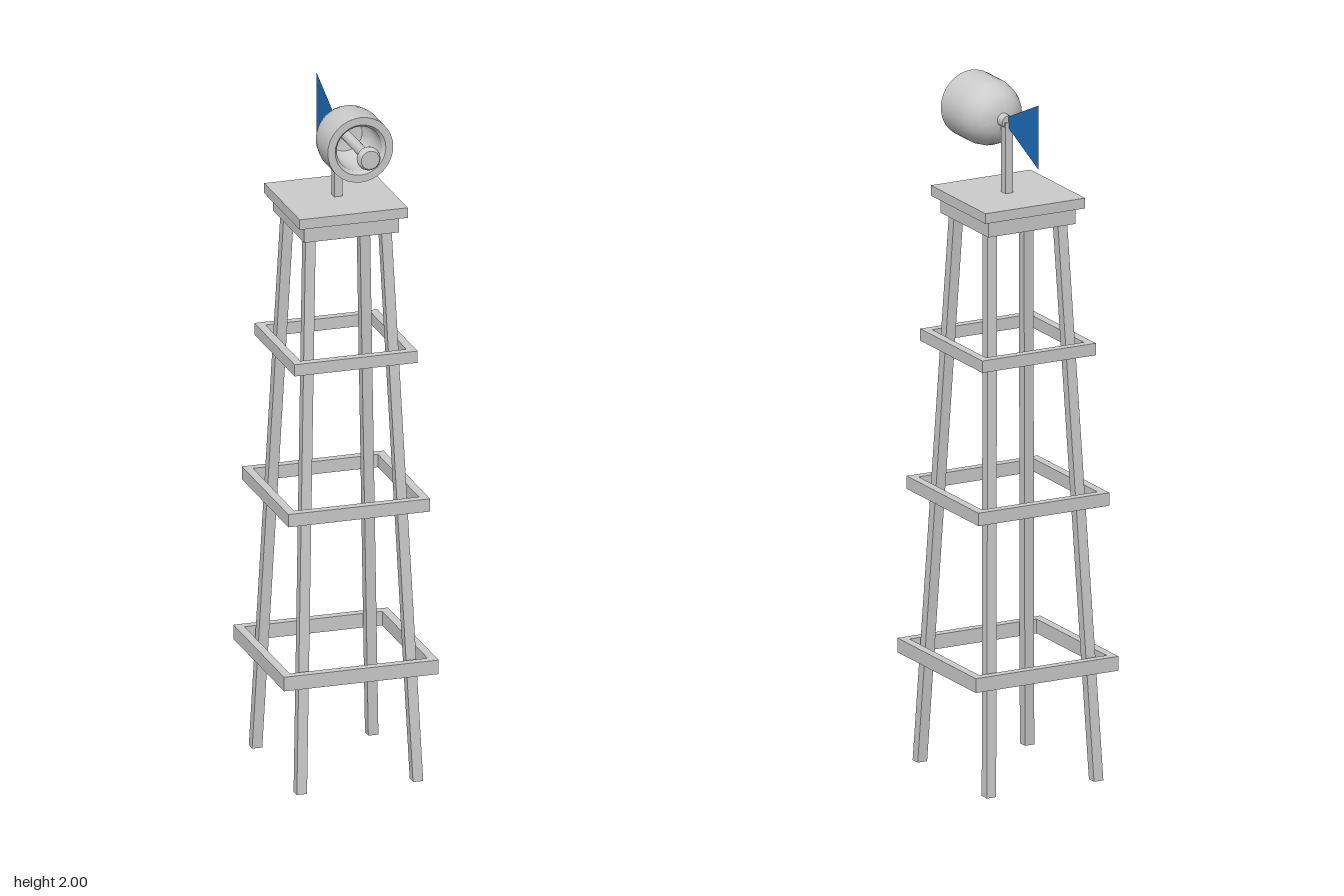
import * as THREE from 'three';
import { toCreasedNormals } from 'three/addons/utils/BufferGeometryUtils.js';

const CZ = -0.036; // tower axis in z
const HX = 0.004, HY = 1.905; // axis of the siren head

export function createModel() {
  const root = new THREE.Group();
  const grey = new THREE.MeshStandardMaterial({ color: 0xcccccc });
  const blue = new THREE.MeshStandardMaterial({ color: 0x1b6fbf, side: THREE.DoubleSide });

  const add = (name, geometry, parent = root, material = grey) => {
    const mesh = new THREE.Mesh(geometry, material);
    mesh.name = name;
    parent.add(mesh);
    return mesh;
  };
  const box = (name, w, h, d, x, y, z, parent) =>
    add(name, new THREE.BoxGeometry(w, h, d), parent).position.set(x, y, z);

  // Four legs: square posts leaning towards the platform
  const legH = 1.63;
  for (const sx of [-1, 1]) for (const sz of [-1, 1]) {
    const g = new THREE.BoxGeometry(0.03, legH, 0.03);
    const p = g.attributes.position;
    for (let i = 0; i < p.count; i++) {
      const t = p.getY(i) / legH + 0.5;
      p.setX(i, p.getX(i) + sx * THREE.MathUtils.lerp(0.172, 0.112, t));
      p.setZ(i, p.getZ(i) + sz * THREE.MathUtils.lerp(0.202, 0.098, t));
      p.setY(i, t * legH);
    }
    g.computeVertexNormals();
    add('leg', g).position.z = CZ;
  }

  // Square frames of four bars around the legs
  const bar = 0.025;
  for (const [y, half, h] of [[0.34, 0.229, 0.042], [0.82, 0.21, 0.038], [1.257, 0.182, 0.035]]) {
    const frame = new THREE.Group();
    frame.name = 'braceFrame';
    frame.position.set(0, y, CZ);
    for (const s of [-1, 1]) {
      box('frameBar', half * 2, h, bar, 0, 0, s * (half - bar / 2), frame);
      box('frameSideBar', bar, h, (half - bar) * 2, s * (half - bar / 2), 0, 0, frame);
    }
    root.add(frame);
  }

  // Platform and mast
  box('platformBase', 0.28, 0.05, 0.28, 0, 1.645, CZ);
  box('platformTop', 0.32, 0.03, 0.32, 0, 1.683, CZ);
  box('mast', 0.025, 0.21, 0.025, HX, 1.8, -0.038);

  // Turned parts of the head: profiles of [radius, z] spun around the z axis
  const head = new THREE.Group();
  head.name = 'sirenHead';
  head.position.set(HX, HY, 0);
  root.add(head);
  const turned = (name, profile, sides = 32) => {
    const g = new THREE.LatheGeometry(profile.map(([r, z]) => new THREE.Vector2(r, z)), sides);
    g.rotateX(Math.PI / 2);
    return add(name, toCreasedNormals(g, 0.6), head);
  };
  turned('bell', [
    [0, -0.016], [0.02, -0.015], [0.045, -0.009], [0.066, 0.004], [0.082, 0.025],
    [0.092, 0.05], [0.097, 0.08], [0.097, 0.173],
    [0.075, 0.173], [0.066, 0.16], [0.066, 0.06], [0.05, 0.035], [0, 0.025],
  ]);
  turned('rod', [[0, 0.02], [0.015, 0.02], [0.015, 0.236], [0, 0.236]], 20);
  turned('knob', [
    [0, 0.234], [0.028, 0.234], [0.033, 0.239], [0.034, 0.247], [0.032, 0.256], [0.027, 0.262], [0, 0.262],
  ], 24);
  turned('rearStub', [[0, -0.045], [0.019, -0.045], [0.019, -0.01], [0, -0.01]], 20);

  // Thin tail vane, drawn in the z-y plane
  const vane = new THREE.Shape([[0.045, -0.016], [0.222, -0.094], [0.222, 0.095], [0.045, 0.016]]
    .map(([x, y]) => new THREE.Vector2(x, y)));
  add('tailVane', new THREE.ShapeGeometry(vane), head, blue).rotation.y = Math.PI / 2;

  return root;
}
